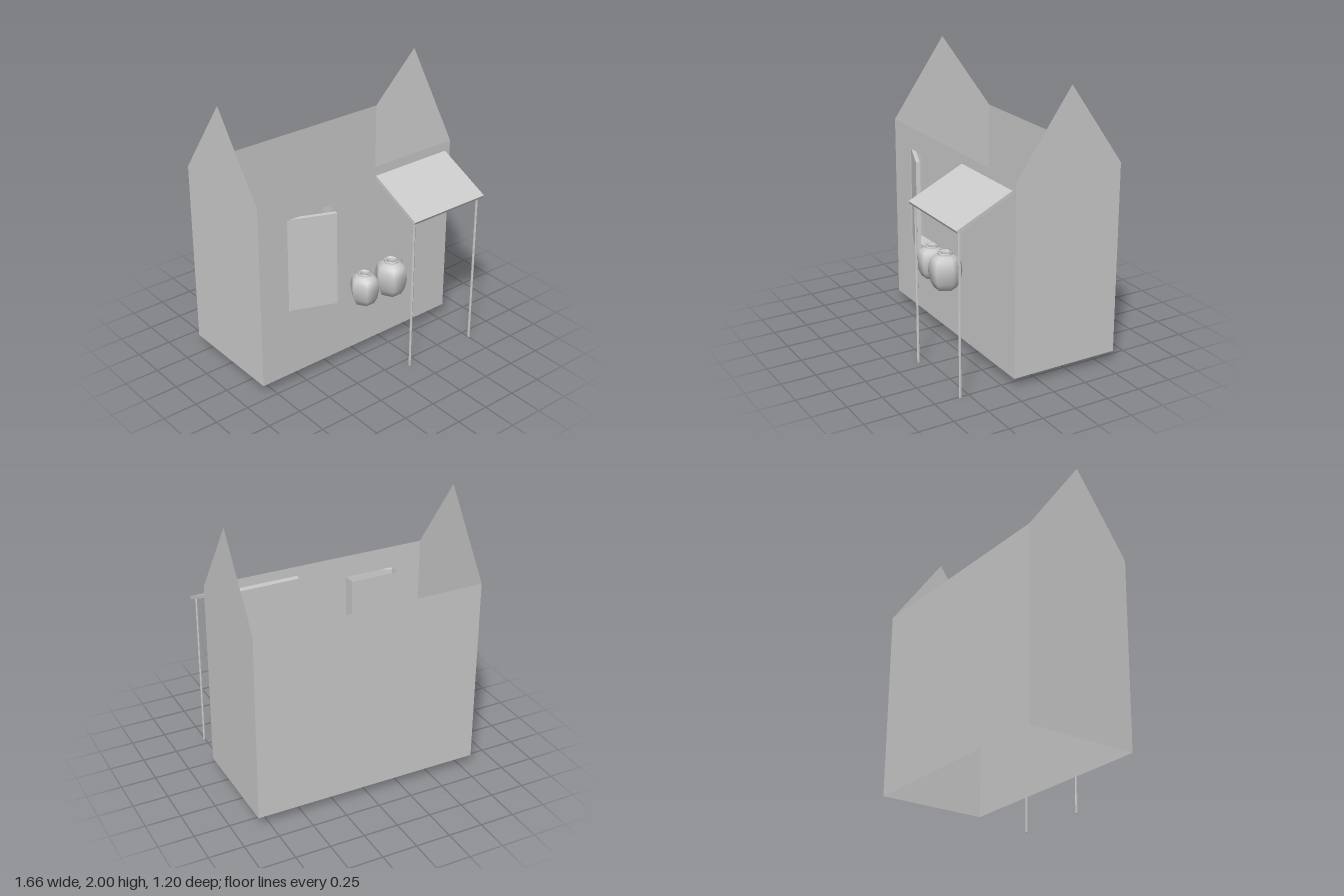
import * as THREE from 'three';

const solid = new THREE.MeshStandardMaterial({ color: 0xcccccc, flatShading: true });
const thin = new THREE.MeshStandardMaterial({ color: 0xcccccc, flatShading: true, side: THREE.DoubleSide });
const smooth = new THREE.MeshStandardMaterial({ color: 0xcccccc, side: THREE.DoubleSide });

function add(parent, name, geometry, material, x = 0, y = 0, z = 0) {
  const mesh = new THREE.Mesh(geometry, material);
  mesh.name = name;
  mesh.position.set(x, y, z);
  parent.add(mesh);
  return mesh;
}

const polygon = (points) => points.map(([x, y]) => new THREE.Vector2(x, y));

// House shell: open top and bottom, thin walls
const W = 0.83, FRONT = 0.2, BACK = -0.6, BASE = 0.07, EAVES = 1.43, PEAK = 2;
// Window opening
const win = { l: -0.6, r: -0.235, b: 0.58, t: 1.27, depth: 0.09 };

function createHouse() {
  const house = new THREE.Group();
  house.name = 'house';
  const wall = () => new THREE.Shape(polygon([[-W, BASE], [W, BASE], [W, EAVES], [-W, EAVES]]));

  const front = wall();
  front.holes.push(new THREE.Path(polygon([[win.l, win.b], [win.l, win.t], [win.r, win.t], [win.r, win.b]])));
  add(house, 'frontWall', new THREE.ShapeGeometry(front), thin, 0, 0, FRONT);
  add(house, 'backWall', new THREE.ShapeGeometry(wall()), thin, 0, 0, BACK).rotation.y = Math.PI;
  house.children[1].scale.x = 1;

  // Gable ends, drawn with -z along the shape's x
  const gable = new THREE.Shape(polygon([
    [-FRONT, BASE], [-BACK, BASE], [-BACK, EAVES], [-(FRONT + BACK) / 2, PEAK], [-FRONT, EAVES],
  ]));
  for (const [name, x] of [['leftGable', W], ['rightGable', -W]]) {
    add(house, name, new THREE.ShapeGeometry(gable), thin, x).rotation.y = Math.PI / 2;
  }
  return house;
}

// Recess behind the window, open at the front and top
function createWindowRecess() {
  const recess = new THREE.Group();
  recess.name = 'windowRecess';
  const w = win.r - win.l, h = win.t - win.b;
  const cx = (win.l + win.r) / 2, cy = (win.b + win.t) / 2, cz = FRONT - win.depth / 2;
  add(recess, 'windowBack', new THREE.PlaneGeometry(w, h), thin, cx, cy, FRONT - win.depth);
  add(recess, 'windowSill', new THREE.PlaneGeometry(w, win.depth), thin, cx, win.b, cz).rotation.x = -Math.PI / 2;
  for (const [x, turn] of [[win.l, 1], [win.r, -1]]) {
    add(recess, 'windowSide', new THREE.PlaneGeometry(win.depth, h), thin, x, cy, cz).rotation.y = turn * Math.PI / 2;
  }
  return recess;
}

// Sloping canopy on two slender posts
function createPorch() {
  const porch = new THREE.Group();
  porch.name = 'porch';
  const slope = Math.atan2(0.2, 0.42);
  add(porch, 'porchRoof', new THREE.BoxGeometry(0.635, 0.022, 0.465), solid, 0.467, 1.26, 0.388).rotation.x = slope;
  for (const x of [0.177, 0.755]) {
    add(porch, 'porchPost', new THREE.CylinderGeometry(0.009, 0.009, 1.17, 6), solid, x, 0.585, 0.565);
  }
  return porch;
}

// Six-sided jar, hollow at the neck
function createJar(name, x, z, radius, height) {
  const profile = polygon([
    [0, 0], [0.68, 0], [0.9, 0.2], [1, 0.45], [0.98, 0.64], [0.85, 0.84],
    [0.5, 0.92], [0.43, 0.95], [0.48, 1], [0.33, 1], [0.3, 0.9], [0.3, 0.75], [0, 0.75],
  ]).map((p) => new THREE.Vector2(p.x * radius, p.y * height));
  const jar = new THREE.Group();
  jar.name = name;
  add(jar, 'jarBody', new THREE.LatheGeometry(profile, 6, Math.PI / 2), smooth, x, 0.51, z);
  return jar;
}

export function createModel() {
  const model = new THREE.Group();
  model.name = 'houseWithPorch';
  model.add(createHouse(), createWindowRecess(), createPorch());

  // Shutter standing ajar on its hinge side
  const shutter = add(model, 'shutter', new THREE.BoxGeometry(0.34, win.t - win.b, 0.028), solid,
    -0.435, (win.b + win.t) / 2, 0.243);
  shutter.rotation.y = -Math.atan2(0.127, 0.315);

  model.add(createJar('smallJar', -0.05, 0.33, 0.104, 0.23));
  model.add(createJar('largeJar', 0.174, 0.347, 0.116, 0.26));
  return model;
}
